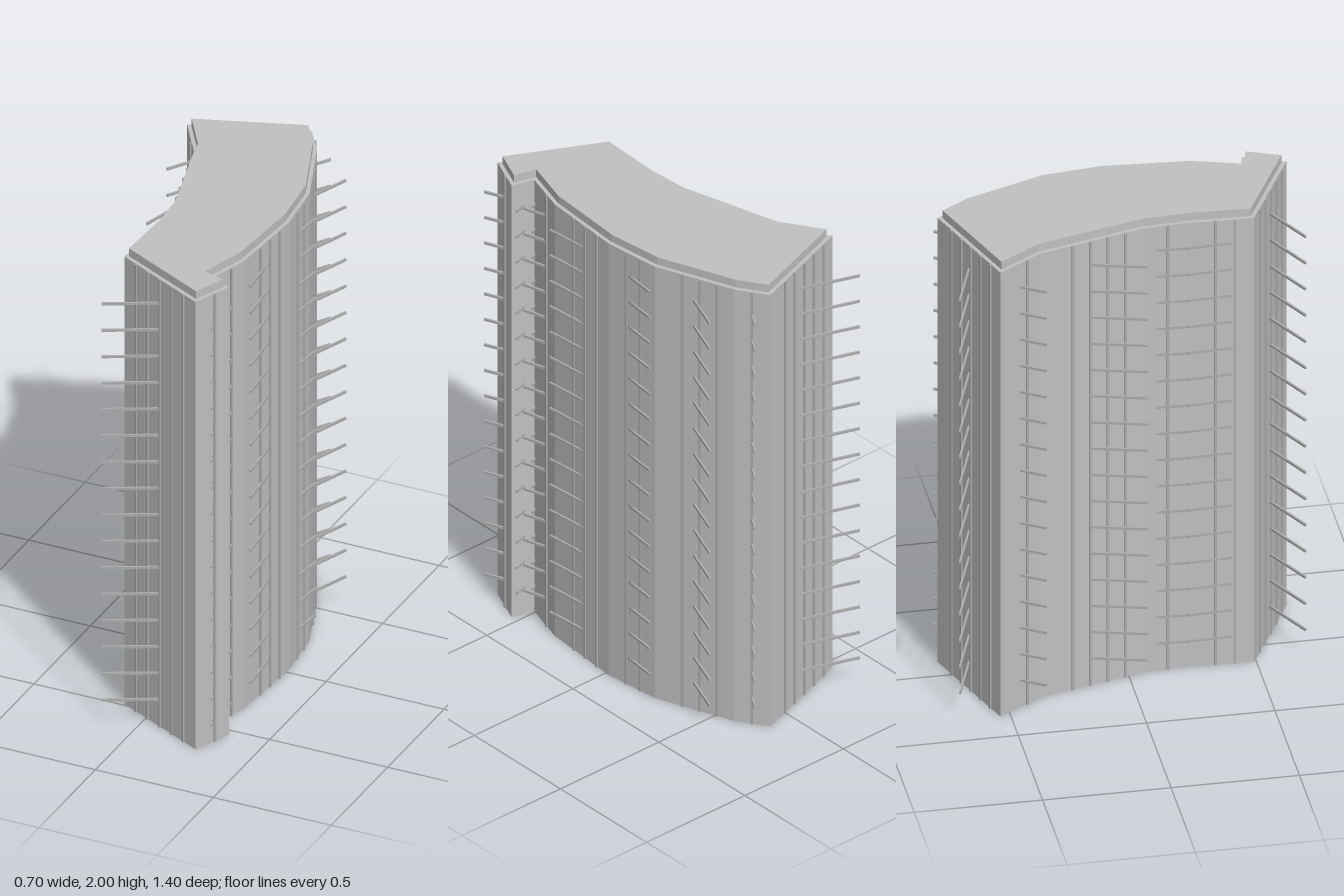
import * as THREE from 'three';
import { mergeGeometries } from 'three/addons/utils/BufferGeometryUtils.js';

// Floor plan corners (x, z), starting at the back right corner
const PLAN = [
  [-0.348, -0.54], [0.106, -0.698], [0.185, -0.577], [0.307, -0.257], [0.333, -0.018],
  [0.307, 0.324], [0.252, 0.507], [0.344, 0.533], [0.277, 0.692], [-0.121, 0.49],
  [-0.11, 0.23], [-0.121, 0.056], [-0.233, -0.361],
].map(([x, z]) => new THREE.Vector2(x, z));

const WALL_TOP = 1.965;
const TOP = 2;

// Moves every corner inward by d with mitred joints
function inset(points, d) {
  const n = points.length;
  const inward = (a, b) => new THREE.Vector2(a.y - b.y, b.x - a.x).normalize();
  return points.map((p, i) => {
    const n1 = inward(points[(i + n - 1) % n], p);
    const n2 = inward(p, points[(i + 1) % n]);
    const m = n1.clone().add(n2);
    return p.clone().addScaledVector(m, d / (1 + n1.dot(n2)));
  });
}

export function createModel() {
  const model = new THREE.Group();
  model.name = 'tower';
  const facade = new THREE.MeshStandardMaterial({ color: 0xc0c0c0, side: THREE.DoubleSide });
  facade.name = 'light grey facade';
  const trim = new THREE.MeshStandardMaterial({ color: 0xacacac });
  trim.name = 'grey trim';

  const add = (name, geometry, material) => {
    const mesh = new THREE.Mesh(geometry, material);
    mesh.name = name;
    model.add(mesh);
  };

  const walls = [], mullions = [], rods = [];
  const spacing = 0.0742;
  PLAN.forEach((a, i) => {
    const b = PLAN[(i + 1) % PLAN.length];
    const mid = a.clone().lerp(b, 0.5);
    const length = a.distanceTo(b);
    const angle = Math.atan2(b.y - a.y, b.x - a.x);

    // Open wall panel facing outward
    walls.push(new THREE.PlaneGeometry(length, WALL_TOP)
      .rotateY(Math.PI - angle).translate(mid.x, WALL_TOP / 2, mid.y));

    // Evenly spaced vertical strips
    for (let s = spacing; s < length - 0.07; s += spacing) {
      const p = a.clone().lerp(b, s / length);
      mullions.push(new THREE.BoxGeometry(0.01, WALL_TOP, 0.012)
        .rotateY(-angle).translate(p.x, WALL_TOP / 2, p.y));
    }

    // Horizontal rods crossing each wall at its middle
    for (let k = 0; k < 16; k++) {
      rods.push(new THREE.BoxGeometry(length, 0.01, 0.008)
        .rotateY(angle).translate(mid.x, 0.12 + k * 0.116, mid.y));
    }
  });
  add('walls', mergeGeometries(walls), facade);
  add('mullions', mergeGeometries(mullions), trim);
  add('floorRods', mergeGeometries(rods), trim);

  // Ledge on top of the walls
  add('ledge', new THREE.ShapeGeometry(new THREE.Shape(PLAN))
    .rotateX(Math.PI / 2).translate(0, WALL_TOP, 0), facade);

  // Slightly inset roof slab
  add('roof', new THREE.ExtrudeGeometry(new THREE.Shape(inset(PLAN, 0.015)), {
    depth: TOP - WALL_TOP - 0.001, bevelEnabled: false,
  }).rotateX(Math.PI / 2).translate(0, TOP, 0), facade);

  return model;
}
